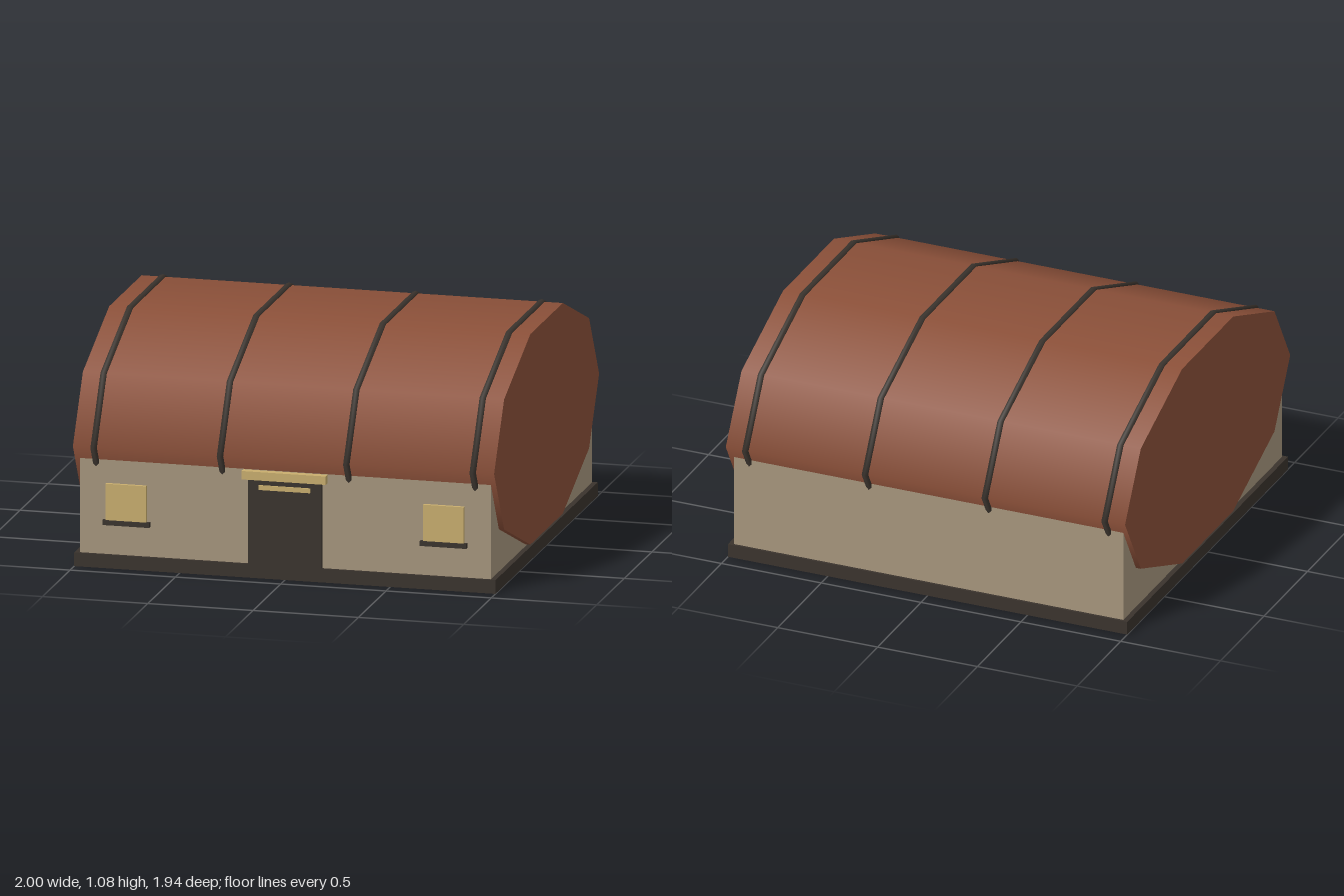
import * as THREE from 'three';

const paint = (name, color) => {
  const m = new THREE.MeshStandardMaterial({ color });
  m.name = name;
  return m;
};

export function createModel() {
  const group = new THREE.Group();
  const rust = paint('rust roof', 0x8b5039);
  const stone = paint('sand wall', 0xa6967d);
  const dark = paint('dark trim', 0x3a332d);
  const gold = paint('warm gold', 0xc9ae6e);

  const add = (name, geometry, material) => {
    const mesh = new THREE.Mesh(geometry, material);
    mesh.name = name;
    group.add(mesh);
    return mesh;
  };
  // Box given by its limits on each axis
  const box = (name, material, [x0, x1], [y0, y1], [z0, z1]) => {
    const g = new THREE.BoxGeometry(x1 - x0, y1 - y0, z1 - z0);
    g.translate((x0 + x1) / 2, (y0 + y1) / 2, (z0 + z1) / 2);
    return add(name, g, material);
  };

  // Base slab and walls
  box('baseSlab', dark, [-1, 1], [0, 0.065], [-0.925, 0.925]);
  box('walls', stone, [-0.975, 0.975], [0.06, 0.56], [-0.913, 0.913]);

  // Ten-sided squashed barrel roof lying along x
  const roofY = 0.575;
  const barrel = new THREE.CylinderGeometry(1, 1, 2, 10);
  barrel.rotateZ(Math.PI / 2).scale(1, 0.525, 0.95).translate(0, roofY, 0);
  add('barrelRoof', barrel, rust);

  // Ribs wrapped round the roof
  for (const x of [-0.9, -0.3, 0.3, 0.9]) {
    const rib = new THREE.TorusGeometry(0.954, 0.016, 6, 10);
    rib.rotateY(Math.PI / 2).scale(1, 0.5526, 1).translate(x, roofY, 0);
    add('roofRib', rib, dark);
  }

  // Door with its lintel and light bar
  box('door', dark, [-0.175, 0.175], [0.005, 0.475], [0.9, 0.929]);
  box('doorLintel', gold, [-0.2, 0.2], [0.47, 0.51], [0.9, 0.948]);
  box('doorLightBar', gold, [-0.122, 0.122], [0.422, 0.444], [0.928, 0.936]);

  // Mirrored windows with sills
  for (const s of [-1, 1]) {
    const span = (a, b) => (s > 0 ? [a, b] : [-b, -a]);
    box('window', gold, span(0.658, 0.85), [0.22, 0.402], [0.9, 0.93]);
    box('windowSill', dark, span(0.642, 0.864), [0.207, 0.23], [0.9, 0.936]);
  }

  return group;
}
